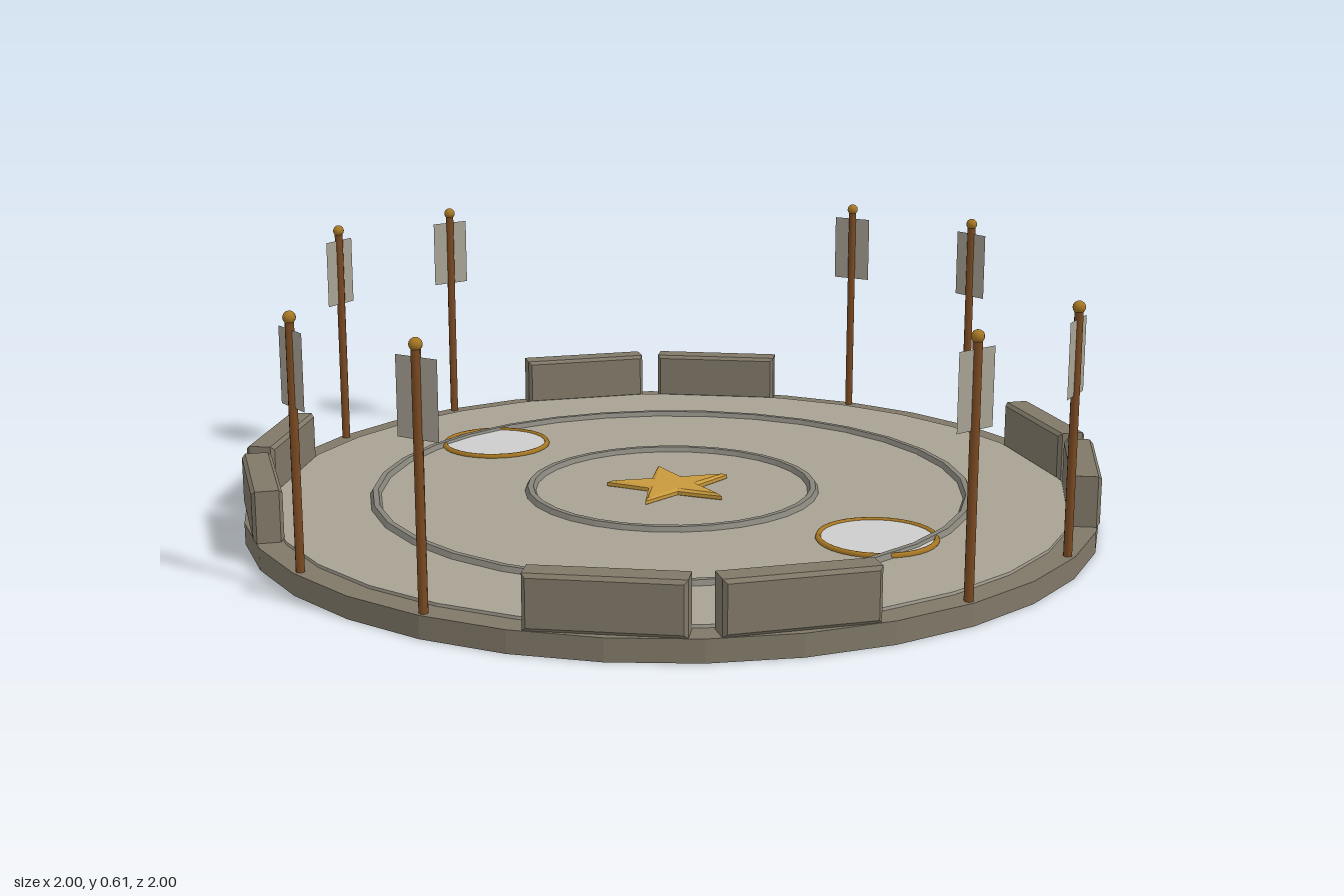
import * as THREE from 'three';

const mat = (name, color, extra = {}) => Object.assign(new THREE.MeshStandardMaterial({ color, ...extra }), { name });

export function createModel() {
  const stone = mat('dark stone', 0x807868, { flatShading: true });
  const paving = mat('pale paving', 0xa8a294, { flatShading: true });
  const trim = mat('grey trim', 0x85837a, { flatShading: true });
  const gold = mat('gold', 0xc8993c, { flatShading: true });
  const brass = mat('dark brass', 0xa87824);
  const wood = mat('brown wood', 0x7a4a22);
  const white = mat('white', 0xcccccc);
  const cloth = mat('banner cloth', 0xa8a294, { side: THREE.DoubleSide });

  const model = new THREE.Group();
  model.name = 'arena';
  const add = (parent, name, geo, material, x = 0, y = 0, z = 0) => {
    const mesh = new THREE.Mesh(geo, material);
    mesh.name = name;
    mesh.position.set(x, y, z);
    parent.add(mesh);
    return mesh;
  };
  const SEG = 32, STEP = Math.PI / 16;

  // Round plinth and paved floor
  add(model, 'plinth', new THREE.CylinderGeometry(1, 1, 0.05, SEG), stone, 0, 0.025);
  add(model, 'floor', new THREE.CylinderGeometry(0.94, 0.94, 0.02, SEG), paving, 0, 0.047);

  // Raised rings on the floor
  for (const [name, r] of [['innerRing', 0.336], ['outerRing', 0.7]])
    add(model, name, new THREE.TorusGeometry(r, 0.013, 6, SEG).rotateX(Math.PI / 2), trim, 0, 0.057);

  // Centre star, one point towards the front
  const star = new THREE.Shape();
  for (let i = 0; i < 10; i++) {
    const r = i % 2 ? 0.064 : 0.155, a = i * Math.PI / 5;
    star[i ? 'lineTo' : 'moveTo'](r * Math.sin(a), -r * Math.cos(a));
  }
  star.closePath();
  const starGeo = new THREE.ExtrudeGeometry(star, {
    depth: 0.008, bevelEnabled: true, bevelThickness: 0.005, bevelSize: 0.01, bevelOffset: -0.01, bevelSegments: 1,
  }).rotateX(-Math.PI / 2);
  add(model, 'centreStar', starGeo, gold, 0, 0.0585);

  // White discs with brass rims
  for (const s of [1, -1]) {
    add(model, 'disc', new THREE.CylinderGeometry(0.132, 0.132, 0.008, SEG), white, 0, 0.058, s * 0.6);
    add(model, 'discRim', new THREE.TorusGeometry(0.13, 0.007, 6, SEG).rotateX(Math.PI / 2), brass, 0, 0.06, s * 0.6);
  }

  // Chamfered wall block
  const W = 0.325, H = 0.118, D = 0.068, B = 0.008;
  const face = new THREE.Shape();
  const w = W / 2 - B, h = H / 2 - B;
  face.moveTo(-w, -h).lineTo(w, -h).lineTo(w, h).lineTo(-w, h).closePath();
  const blockGeo = new THREE.ExtrudeGeometry(face, {
    depth: D - 2 * B, bevelEnabled: true, bevelThickness: B, bevelSize: B, bevelSegments: 1,
  }).translate(0, 0, B - D / 2);

  // Banner parts
  const poleGeo = new THREE.CylinderGeometry(0.01, 0.01, 0.54, 8);
  const knobGeo = new THREE.SphereGeometry(0.014, 10, 8);
  const flagGeo = new THREE.PlaneGeometry(0.1, 0.165);

  // Each quarter holds two wall blocks and two banners
  for (let q = 0; q < 4; q++) {
    for (const k of [3, 5]) {
      const a = q * Math.PI / 2 + k * STEP;
      add(model, 'wallBlock', blockGeo, stone, 0.957 * Math.sin(a), 0.109, 0.957 * Math.cos(a)).rotation.y = a;
    }
    for (const k of [1, -1]) {
      const a = q * Math.PI / 2 + k * STEP;
      const banner = new THREE.Group();
      banner.name = 'banner';
      banner.position.set(0.983 * Math.sin(a), 0, 0.983 * Math.cos(a));
      banner.rotation.y = a;
      add(banner, 'pole', poleGeo, wood, 0, 0.32);
      add(banner, 'knob', knobGeo, brass, 0, 0.595);
      add(banner, 'flag', flagGeo, cloth, 0, 0.4875);
      model.add(banner);
    }
  }
  return model;
}
